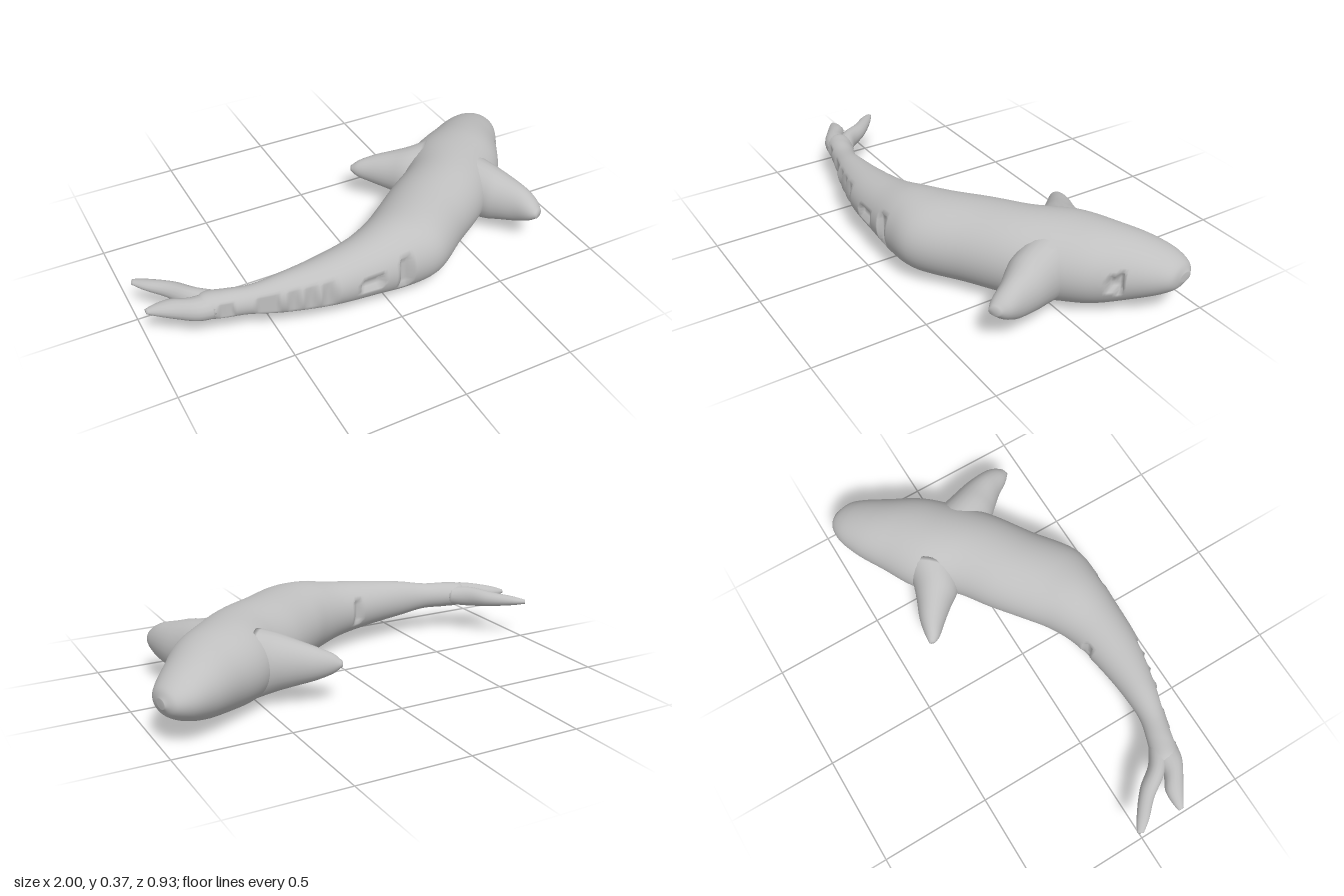
import * as THREE from 'three';

const MID_Y = 0.185;

// Each station: [side A x, z, side B x, z, half height]
const BODY = [
  [0.99, -0.43, 1.0, -0.37, 0.02], [0.95, -0.465, 1.0, -0.32, 0.055],
  [0.88, -0.472, 0.975, -0.265, 0.09], [0.78, -0.44, 0.91, -0.16, 0.13],
  [0.65, -0.37, 0.83, -0.03, 0.165], [0.49, -0.28, 0.745, 0.06, 0.182],
  [0.37, -0.14, 0.6, 0.19, 0.185], [0.23, -0.04, 0.42, 0.31, 0.18],
  [0.1, 0.06, 0.23, 0.44, 0.172], [0, 0.135, 0.1, 0.455, 0.163],
  [-0.12, 0.192, -0.07, 0.452, 0.135], [-0.28, 0.225, -0.28, 0.44, 0.11],
  [-0.45, 0.245, -0.5, 0.39, 0.085], [-0.58, 0.245, -0.64, 0.345, 0.062],
  [-0.67, 0.22, -0.75, 0.318, 0.06], [-0.76, 0.19, -0.82, 0.29, 0.05],
  [-0.79, 0.2, -0.84, 0.25, 0.02],
];
const LEFT_FIN = [
  [0.52, 0.05, 0.74, -0.05, 0.15], [0.6, 0.19, 0.77, 0.06, 0.13],
  [0.64, 0.235, 0.80, 0.16, 0.108], [0.69, 0.29, 0.815, 0.25, 0.085],
  [0.73, 0.35, 0.818, 0.31, 0.05], [0.76, 0.378, 0.803, 0.355, 0.018],
];
const RIGHT_FIN = [
  [0.6, -0.28, 0.42, -0.08, 0.15], [0.5, -0.285, 0.36, -0.13, 0.125],
  [0.42, -0.31, 0.315, -0.19, 0.1], [0.33, -0.345, 0.255, -0.26, 0.07],
  [0.25, -0.362, 0.21, -0.31, 0.04], [0.205, -0.365, 0.195, -0.34, 0.012],
];
const RIGHT_FLUKE = [
  [-0.7, 0.21, -0.76, 0.28, 0.045], [-0.77, 0.16, -0.84, 0.195, 0.048],
  [-0.83, 0.08, -0.9, 0.105, 0.036], [-0.93, -0.005, -0.965, 0.035, 0.022],
  [-0.985, -0.04, -1.0, -0.015, 0.01],
];
const LEFT_FLUKE = [
  [-0.74, 0.2, -0.75, 0.318, 0.055], [-0.83, 0.198, -0.82, 0.303, 0.05],
  [-0.9, 0.162, -0.9, 0.255, 0.04], [-0.96, 0.158, -0.96, 0.215, 0.025],
  [-1.0, 0.163, -1.0, 0.188, 0.01],
];

// Shallow flank notches: [min x, max x, half height, side]
const NOTCHES = [
  [-0.75, -0.69, 0.045, 1], [-0.6, -0.5, 0.05, 1], [-0.47, -0.43, 0.055, 1],
  [-0.4, -0.36, 0.055, 1], [-0.33, -0.28, 0.058, 1], [-0.16, -0.06, 0.03, 1],
  [0.025, 0.07, 0.065, 1], [0.87, 0.905, 0.036, 1], [-0.22, -0.18, 0.055, -1],
];

// Loft elliptical sections through the stations and close both ends
function loft(stations, rings, sides, notches = []) {
  const a = new THREE.CatmullRomCurve3(stations.map(s => new THREE.Vector3(s[0], s[4], s[1])));
  const b = new THREE.CatmullRomCurve3(stations.map(s => new THREE.Vector3(s[2], s[4], s[3])));
  const pos = [], index = [];
  const ring = (t, scale) => {
    const p = a.getPoint(t), q = b.getPoint(t);
    const cx = (p.x + q.x) / 2, cz = (p.z + q.z) / 2;
    const wx = (q.x - p.x) / 2 * scale, wz = (q.z - p.z) / 2 * scale;
    const h = Math.max(p.y, 0.005) * scale;
    for (let j = 0; j < sides; j++) {
      const angle = j / sides * Math.PI * 2;
      const y = Math.sin(angle) * h;
      let c = Math.cos(angle);
      for (const [x0, x1, half, side] of notches) {
        const edgeX = side > 0 ? q.x : p.x;
        if (c * side > 0.5 && edgeX > x0 && edgeX < x1 && Math.abs(y) < half)
          c = side * Math.min(Math.abs(c), 0.8);
      }
      pos.push(cx + wx * c, MID_Y + y, cz + wz * c);
    }
  };
  ring(0, 0);
  for (let i = 0; i <= rings; i++) ring(i / rings, 1);
  ring(1, 0);
  for (let i = 0; i < rings + 2; i++) {
    for (let j = 0; j < sides; j++) {
      const k = (j + 1) % sides;
      const v0 = i * sides + j, v1 = i * sides + k;
      const v2 = v0 + sides, v3 = v1 + sides;
      index.push(v0, v2, v1, v1, v2, v3);
    }
  }
  // Turn the faces outward using the signed volume
  const at = i => new THREE.Vector3().fromArray(pos, i * 3);
  let volume = 0;
  for (let i = 0; i < index.length; i += 3)
    volume += at(index[i]).dot(at(index[i + 1]).cross(at(index[i + 2])));
  if (volume < 0) index.reverse();

  const geometry = new THREE.BufferGeometry();
  geometry.setAttribute('position', new THREE.Float32BufferAttribute(pos, 3));
  geometry.setIndex(index);
  geometry.computeVertexNormals();
  return geometry;
}

export function createModel() {
  const model = new THREE.Group();
  model.name = 'whale';
  const grey = new THREE.MeshStandardMaterial({ color: 0xc0c0c0 });
  grey.name = 'plain grey';

  const add = (name, geometry) => {
    const mesh = new THREE.Mesh(geometry, grey);
    mesh.name = name;
    model.add(mesh);
  };
  add('body', loft(BODY, 200, 48, NOTCHES));
  add('leftFin', loft(LEFT_FIN, 24, 24));
  add('rightFin', loft(RIGHT_FIN, 24, 24));
  add('leftFluke', loft(LEFT_FLUKE, 20, 16));
  add('rightFluke', loft(RIGHT_FLUKE, 20, 16));
  return model;
}
